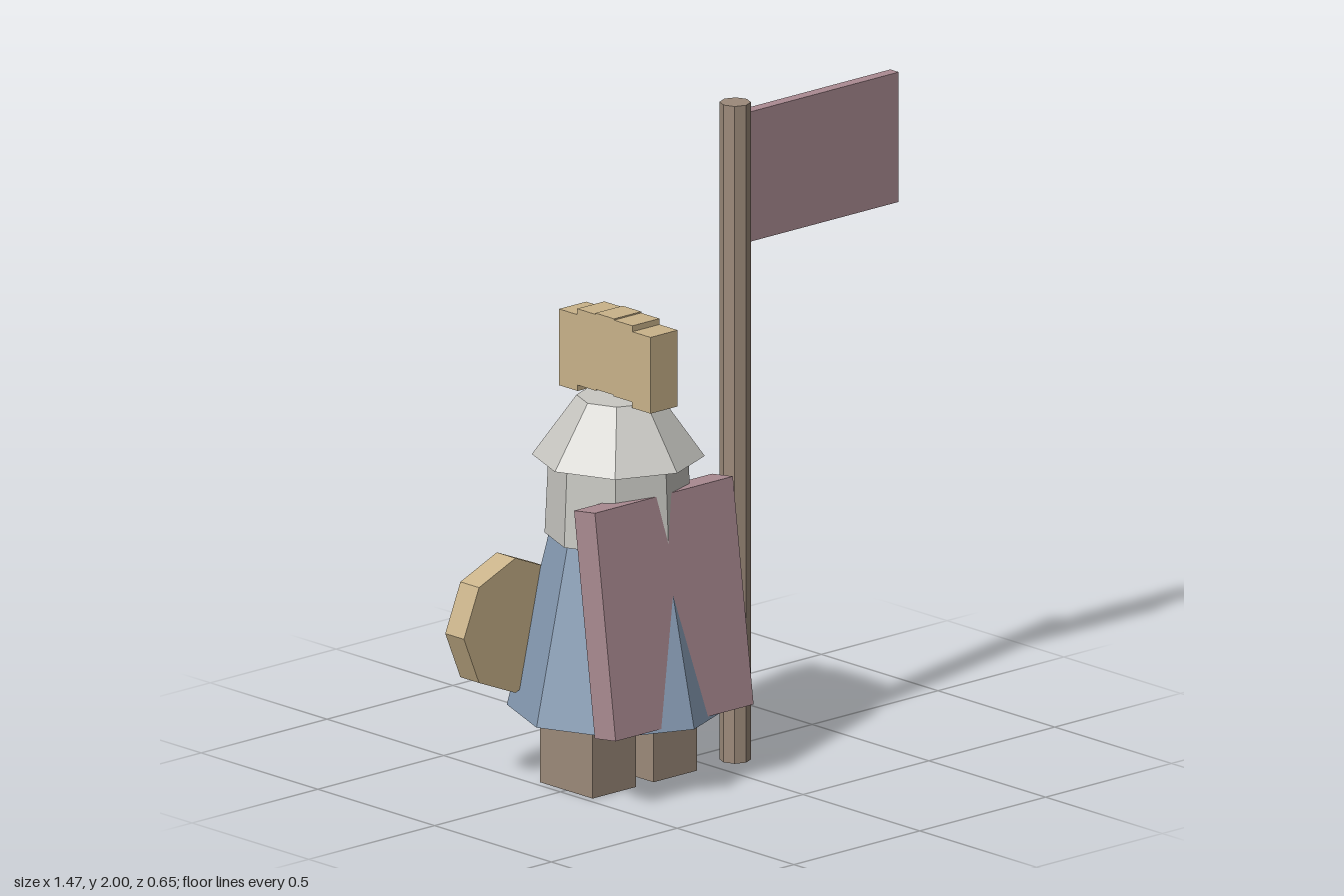
import * as THREE from 'three';

const mat = (name, color) => {
  const m = new THREE.MeshStandardMaterial({ color });
  m.name = name;
  m.flatShading = true;
  return m;
};

export function createModel() {
  const group = new THREE.Group();
  const cloth = mat('dusty rose cloth', 0xab8b92);
  const gold = mat('pale gold', 0xc9b38a);
  const blue = mat('slate blue', 0x889db5);
  const steel = mat('light grey', 0xc9c8c3);
  const wood = mat('brown wood', 0x9c8a7a);

  const add = (name, geometry, material, x, y, z) => {
    const mesh = new THREE.Mesh(geometry, material);
    mesh.name = name;
    mesh.position.set(x, y, z);
    group.add(mesh);
    return mesh;
  };
  // Box given by its extents on each axis
  const box = (name, material, [x0, x1], [y0, y1], [z0, z1]) =>
    add(name, new THREE.BoxGeometry(x1 - x0, y1 - y0, z1 - z0), material,
      (x0 + x1) / 2, (y0 + y1) / 2, (z0 + z1) / 2);
  // Eight-sided upright frustum from y0 to y1
  const frustum = (name, material, rTop, rBottom, y0, y1, x, z) =>
    add(name, new THREE.CylinderGeometry(rTop, rBottom, y1 - y0, 8), material, x, (y0 + y1) / 2, z);

  const bx = -0.27; // body axis

  // Legs
  for (const s of [-1, 1]) {
    const cx = bx + s * 0.121;
    box(s > 0 ? 'leftLeg' : 'rightLeg', wood, [cx - 0.086, cx + 0.086], [0, 0.25], [-0.113, 0.113]);
  }

  // Body
  frustum('robe', blue, 0.2, 0.325, 0.215, 0.75, bx, 0);
  frustum('torso', steel, 0.203, 0.215, 0.74, 1.0, bx, 0);
  frustum('helmet', steel, 0.122, 0.252, 0.978, 1.16, bx, 0);

  // Crest: a row of blocks, highest in the middle
  [-2, -1, 0, 1, 2].forEach((i) => {
    const top = [1.412, 1.408, 1.39][Math.abs(i)];
    box('crestBlock', gold, [bx - 0.054, bx + 0.054], [top - 0.232, top],
      [i * 0.078 - 0.04, i * 0.078 + 0.04]);
  });

  // Leaning front panel
  const panel = add('tabard', new THREE.BoxGeometry(0.548, 0.68, 0.09), cloth, bx, 0.557, 0.195);
  panel.rotation.x = -0.131;

  // Round shield on the back
  const disc = (name, material, r, z0, z1) => {
    const m = add(name, new THREE.CylinderGeometry(r, r, z1 - z0, 8), material, -0.53, 0.477, (z0 + z1) / 2);
    m.rotation.x = Math.PI / 2;
  };
  disc('shieldRim', gold, 0.205, -0.24, -0.16);
  disc('shieldFace', blue, 0.16, -0.264, -0.235);

  // Banner
  frustum('pole', wood, 0.046, 0.046, 0, 2, 0.097, 0.105);
  box('flag', cloth, [0.13, 0.73], [1.57, 1.965], [0.087, 0.123]);
  box('flagPatch', gold, [0.335, 0.495], [1.69, 1.845], [0.061, 0.09]);

  return group;
}
